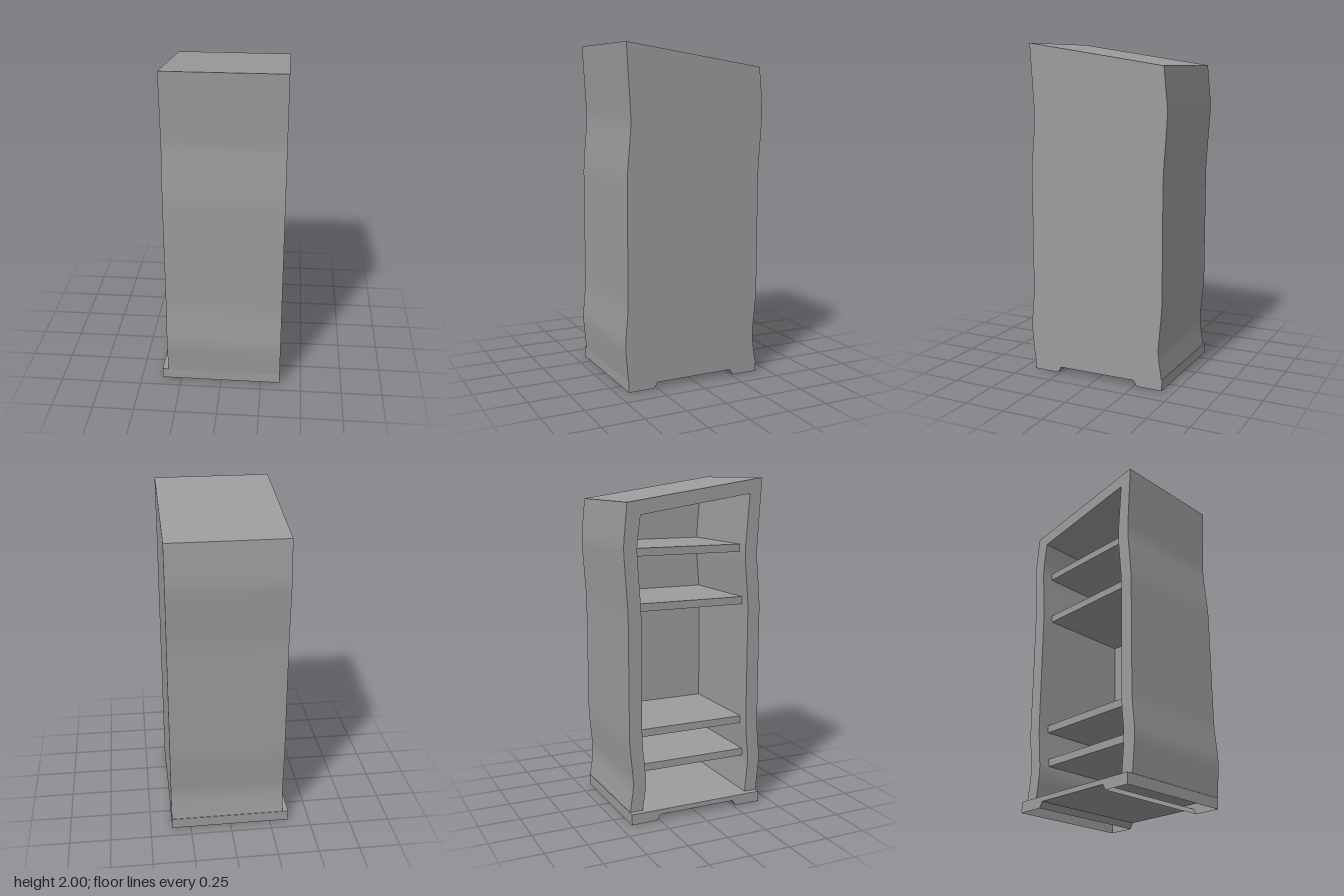
import * as THREE from 'three';

const HALF = 0.3675;     // half width of the base
const OPEN_X = -0.332;   // open side of the cabinet
const PANEL = 0.06;      // closed side panel
const WALL = 0.08;       // front, back and top thickness
const FLOOR = 0.065;

// Wavy side profile as [z, y] points, front from the bottom up, back from the top down
const front = [[0.43, FLOOR], [0.45, 0.28], [0.43, 0.49], [0.43, 1.26], [0.403, 1.56], [0.43, 2]];
const back = [[-0.425, 1.87], [-0.45, 1.62], [-0.425, 1.25], [-0.425, 0.49], [-0.4, 0.23], [-0.425, FLOOR]];

const shapeOf = (pts) => new THREE.Shape(pts.map(([z, y]) => new THREE.Vector2(z, y)));

// Rounds the inner corners of a [z, y] line with short curves
function soften(pts, reach = 0.06) {
  const v = pts.map((p) => new THREE.Vector2(...p));
  const out = [pts[0]];
  for (let i = 1; i < v.length - 1; i++) {
    const toward = (p) => v[i].clone().add(p.clone().sub(v[i]).setLength(reach));
    const curve = new THREE.QuadraticBezierCurve(toward(v[i - 1]), v[i], toward(v[i + 1]));
    out.push(...curve.getPoints(4).map((p) => [p.x, p.y]));
  }
  return [...out, pts[pts.length - 1]];
}

// Sweeps an open [z, y] line along x as a sheet, smooth across bends and sharp at corners
function sheetX(pts, x0, x1) {
  const normals = pts.slice(1).map(([z, y], i) =>
    new THREE.Vector3(0, pts[i][0] - z, y - pts[i][1]).normalize());
  const at = (i, j) => {
    const n = normals[i].clone();
    if (normals[j] && normals[i].dot(normals[j]) > 0.85) n.add(normals[j]).normalize();
    return n.toArray();
  };
  const pos = [], nor = [];
  normals.forEach((_, i) => {
    const [za, ya] = pts[i], [zb, yb] = pts[i + 1];
    const a = at(i, i - 1), b = at(i, i + 1);
    pos.push(x0, ya, za, x1, ya, za, x1, yb, zb, x0, ya, za, x1, yb, zb, x0, yb, zb);
    nor.push(...a, ...a, ...b, ...a, ...b, ...b);
  });
  const g = new THREE.BufferGeometry();
  g.setAttribute('position', new THREE.Float32BufferAttribute(pos, 3));
  g.setAttribute('normal', new THREE.Float32BufferAttribute(nor, 3));
  return g;
}

// Flat [z, y] outline standing at x, facing +x or -x
function plateX(pts, x, facing) {
  const shape = shapeOf(facing > 0 ? pts.map(([z, y]) => [-z, y]) : pts);
  return new THREE.ShapeGeometry(shape).rotateY(facing * Math.PI / 2).translate(x, 0, 0);
}

export function createModel() {
  const group = new THREE.Group();
  const solid = new THREE.MeshStandardMaterial({ color: 0x9c9c9c });
  const thin = new THREE.MeshStandardMaterial({ color: 0x9c9c9c, side: THREE.DoubleSide });
  const add = (name, geometry, material, parent = group) => {
    const mesh = new THREE.Mesh(geometry, material);
    mesh.name = name;
    parent.add(mesh);
    return mesh;
  };

  // Outer skin and lining share the wavy profile, one wall thickness apart
  const innerFront = front.map(([z, y]) => [z - WALL, y]);
  const innerBack = back.map(([z, y]) => [z + WALL, y]);
  innerFront[5][1] = 1.908;
  innerBack[0][1] = 1.8;
  const skin = [...soften(front), ...soften(back)];
  const lining = [...soften(innerFront), ...soften(innerBack)];
  const liningX = HALF - PANEL;
  add('outerSkin', sheetX(skin, OPEN_X, HALF), thin);
  add('innerLining', sheetX(lining, OPEN_X, liningX), thin);
  add('openingRim', plateX([...skin, ...[...lining].reverse()], OPEN_X, -1), solid);
  add('closedSide', plateX(skin, HALF, 1), solid);
  add('closedSideLining', plateX(lining, liningX, -1), solid);

  // Shelves, set back from the opening and let into the walls
  const shelfX = -0.262, thick = 0.046;
  for (const top of [0.325, 0.54, 1.292, 1.61]) {
    const shelf = add('shelf', new THREE.BoxGeometry(liningX - shelfX, thick, 0.77), solid);
    shelf.position.set((shelfX + liningX) / 2, top - thick / 2, 0);
  }

  // Base: hollow feet below a floor, with an arched gap between them
  const base = new THREE.Group();
  base.name = 'base';
  group.add(base);
  const outer = [[0.428, 0], [0.428, FLOOR], [-0.428, FLOOR], [-0.428, 0]];
  const gap = [[-0.267, 0], [-0.245, 0.035], [0.245, 0.035], [0.267, 0]];
  add('floorAndSkirt', sheetX(outer, -HALF, HALF), thin, base);
  add('gapLining', sheetX(gap, -HALF, HALF), thin, base);
  for (const side of [-1, 1]) {
    add('baseEnd', plateX([...outer, ...gap], side * HALF, side), thin, base);
  }
  return group;
}
